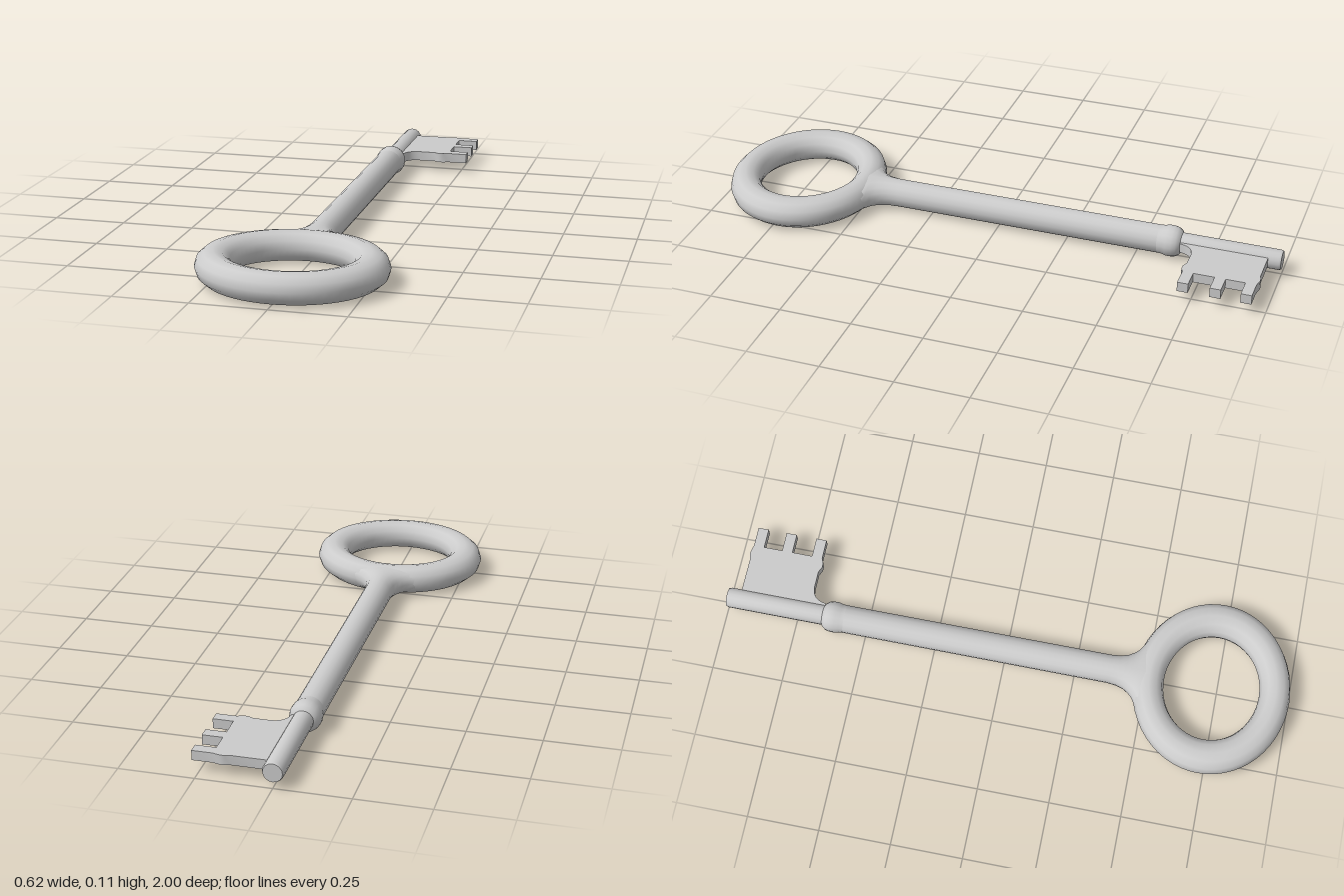
import * as THREE from 'three';
import { toCreasedNormals } from 'three/addons/utils/BufferGeometryUtils.js';

const AXIS_Y = 0.056; // height of the key's centre line

export function createModel() {
  const key = new THREE.Group();
  key.name = 'key';
  const material = new THREE.MeshStandardMaterial({ color: 0xcccccc });

  function add(name, geometry, y = AXIS_Y, z = 0) {
    const mesh = new THREE.Mesh(toCreasedNormals(geometry, 0.8), material);
    mesh.name = name;
    mesh.position.set(0, y, z);
    key.add(mesh);
  }

  // Turned part along z; the profile holds [radius, z] pairs from front to back
  function turned(profile, sides = 16) {
    const points = profile.map(([r, z]) => new THREE.Vector2(r, -z));
    return new THREE.LatheGeometry(points, sides, Math.PI).rotateX(-Math.PI / 2);
  }

  // Oval ring handle
  const bow = new THREE.TorusGeometry(0.251, 0.061, 12, 56).rotateX(Math.PI / 2);
  add('bow', bow.scale(1, 0.86, 0.875), AXIS_Y, 0.727);

  // Shaft, widened sideways where it flows into the ring
  const flare = [[0.51, 0.152], [0.495, 0.148], [0.483, 0.132], [0.472, 0.11],
    [0.46, 0.09], [0.445, 0.075], [0.425, 0.062], [0.4, 0.054], [0.37, 0.05]];
  const shaft = turned([[0, 0.51], ...flare.map(([z]) => [0.049, z]), [0.049, -0.59]]);
  const pos = shaft.attributes.position;
  for (let i = 0; i < pos.count; i++) {
    const row = flare.find(([z]) => Math.abs(z - pos.getZ(i)) < 1e-4);
    if (row) pos.setX(i, pos.getX(i) * row[1] / 0.049);
  }
  add('shaft', shaft);

  // Collar between shaft and tip
  add('collar', turned([[0.049, -0.575], [0.05, -0.59], [0.054, -0.605], [0.054, -0.625],
    [0.05, -0.64], [0.042, -0.65], [0.034, -0.655]]));

  // Thin round tip that carries the bit
  add('tip', turned([[0.035, -0.63], [0.035, -0.992], [0.032, -1], [0, -1]]));

  // Flat bit with three teeth, outlined in x and z
  const teeth = [[-0.706, -0.743], [-0.815, -0.852], [-0.918, -0.955]];
  const outline = new THREE.Shape();
  outline.moveTo(0, 0.65);
  outline.lineTo(0.038, 0.655);
  outline.quadraticCurveTo(0.043, 0.703, 0.09, 0.707);
  outline.lineTo(0.15, 0.707);
  outline.lineTo(0.168, 0.698);
  outline.lineTo(0.185, 0.698);
  outline.lineTo(0.204, 0.706);
  for (const [front, back] of teeth) {
    outline.lineTo(0.204, -front);
    outline.lineTo(0.273, -front);
    outline.lineTo(0.273, -back);
    outline.lineTo(0.204, -back);
  }
  outline.lineTo(0.18, 0.961);
  outline.lineTo(0.165, 0.961);
  outline.lineTo(0.15, 0.956);
  outline.lineTo(0, 0.956);
  const bit = new THREE.ExtrudeGeometry(outline, { depth: 0.034, bevelEnabled: false, curveSegments: 6 });
  add('bit', bit.rotateX(-Math.PI / 2), AXIS_Y - 0.017);

  // Stand the key on the ground
  const box = new THREE.Box3().setFromObject(key);
  key.children.forEach((part) => { part.position.y -= box.min.y; });
  return key;
}
